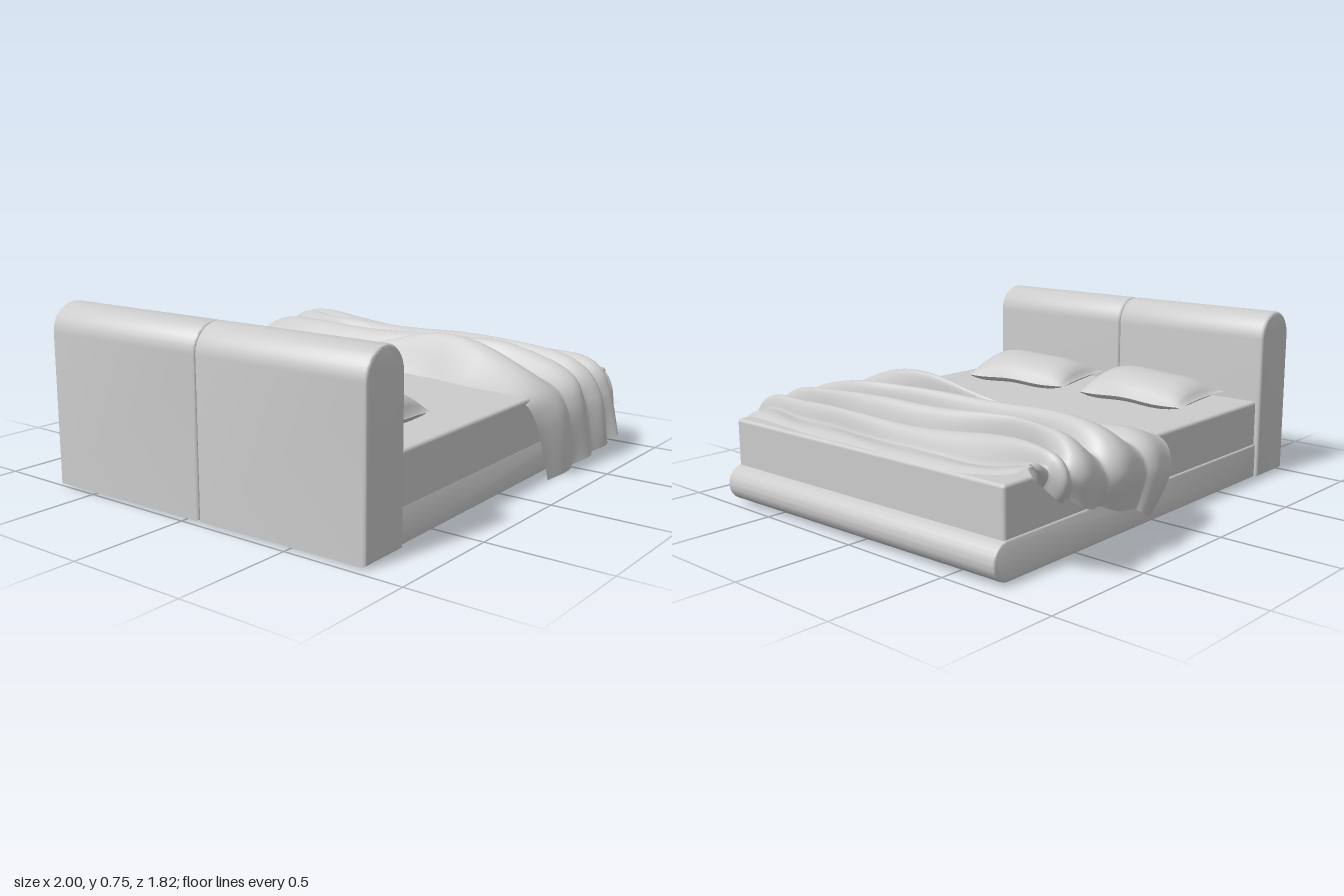
import * as THREE from 'three';
import { toCreasedNormals } from 'three/addons/utils/BufferGeometryUtils.js';
import { RoundedBoxGeometry } from 'three/addons/geometries/RoundedBoxGeometry.js';

const solid = new THREE.MeshStandardMaterial({ color: 0xcccccc });
const cloth = new THREE.MeshStandardMaterial({ color: 0xcccccc, side: THREE.DoubleSide });

function part(name, geometry, material = solid) {
  const mesh = new THREE.Mesh(geometry, material);
  mesh.name = name;
  return mesh;
}

// Side profile (x, y) extruded along z with softened ends
function extruded(shape, z0, z1, bevel) {
  const g = new THREE.ExtrudeGeometry(shape, {
    depth: z1 - z0 - 2 * bevel, curveSegments: 16,
    bevelEnabled: true, bevelSize: bevel, bevelThickness: bevel, bevelOffset: -bevel, bevelSegments: 4,
  });
  g.translate(0, 0, z0 + bevel);
  return toCreasedNormals(g, 0.6);
}

// Grid surface from a rule: fn(u, v) -> [x, y, z]
function surface(nu, nv, fn) {
  const g = new THREE.PlaneGeometry(1, 1, nu, nv);
  const p = g.attributes.position;
  for (let i = 0; i < p.count; i++) p.setXYZ(i, ...fn(p.getX(i) + 0.5, 0.5 - p.getY(i)));
  g.computeVertexNormals();
  return g;
}

// Headboard half: slab with a fully rounded top
function headboardShape() {
  const x0 = -0.985, x1 = -0.757, r = (x1 - x0) / 2, top = 0.757;
  const s = new THREE.Shape();
  s.moveTo(x0, 0.02);
  s.lineTo(x1, 0.02);
  s.lineTo(x1, top - r);
  s.absarc((x0 + x1) / 2, top - r, r, 0, Math.PI, false);
  s.closePath();
  return s;
}

// Base: low slab with a half-round foot end
function baseShape() {
  const s = new THREE.Shape();
  s.moveTo(-0.77, 0.02);
  s.lineTo(0.91, 0.02);
  s.absarc(0.91, 0.095, 0.075, -Math.PI / 2, Math.PI / 2, false);
  s.lineTo(-0.77, 0.17);
  s.closePath();
  return s;
}

// Pillow: two puffed faces joined at a thin flange, steeper at the +z end
function pillow(name, x, z, turn) {
  const group = new THREE.Group();
  group.name = name;
  const face = (height, power) => surface(32, 48, (u, v) => {
    const a = 2 * u - 1, b = 2 * v - 1;
    const ia = Math.min(1, Math.abs(a) / 0.97), ib = Math.min(1, Math.abs(b) / 0.95);
    const puff = Math.pow((1 - ia ** 2.2) * (1 - ib ** (b > 0 ? 7 : 3)), power);
    const seam = 0.402 - 0.011 * a + 0.004 * Math.sin(5 * b + a);
    return [
      0.168 * a * (1 - 0.05 * (1 - b * b)),
      seam + height * puff,
      0.285 * b * (1 - 0.04 * (1 - a * a)),
    ];
  });
  group.add(part('pillowTop', face(0.09, 0.65), cloth), part('pillowUnderside', face(-0.04, 0.4), cloth));
  group.position.set(x, 0, z);
  group.rotation.y = turn;
  return group;
}

// Throw stations from back hem to front hem:
// path [z, y, rise towards the foot], crease positions in x, fold heights
const STATIONS = [
  { path: [-0.81, 0.1, 0.34], x: [0.2, 0.32, 0.54, 0.72, 0.84, 0.9], h: [0.02, 0.03, 0.04, 0.05, 0.02] },
  { path: [-0.84, 0.28, 0.18], x: [0.12, 0.3, 0.55, 0.75, 0.85, 0.92], h: [0.02, 0.03, 0.03, 0.05, 0.01] },
  { path: [-0.75, 0.385, 0.03], x: [0.08, 0.3, 0.54, 0.71, 0.84, 0.93], h: [0.03, 0.08, 0.08, 0.07, 0.01] },
  { path: [-0.5, 0.372, 0], x: [0.15, 0.3, 0.5, 0.62, 0.84, 0.93], h: [0.06, 0.12, 0.11, 0.09, 0.01] },
  { path: [-0.15, 0.372, 0], x: [0.235, 0.32, 0.5, 0.68, 0.84, 0.935], h: [0.08, 0.11, 0.1, 0.06, 0.01] },
  { path: [0.2, 0.372, 0], x: [0.24, 0.38, 0.53, 0.71, 0.83, 0.93], h: [0.16, 0.12, 0.1, 0.07, 0.01] },
  { path: [0.48, 0.372, 0], x: [0.18, 0.42, 0.58, 0.7, 0.82, 0.92], h: [0.14, 0.11, 0.09, 0.06, 0.01] },
  { path: [0.73, 0.372, 0], x: [0.15, 0.42, 0.57, 0.69, 0.8, 0.9], h: [0.03, 0.05, 0.05, 0.05, 0.01] },
  { path: [0.82, 0.27, 0.03], x: [0.19, 0.43, 0.58, 0.71, 0.81, 0.88], h: [0.02, 0.02, 0.03, 0.03, 0.01] },
  { path: [0.84, 0.01, 0.11], x: [0.27, 0.46, 0.62, 0.76, 0.83, 0.87], h: [0.02, 0.02, 0.03, 0.04, 0.01] },
];

// Smooth value between stations for one entry of one column
function along(key, i, t) {
  const n = STATIONS.length - 1;
  const k = Math.min(n - 1, Math.floor(t * n)), f = t * n - k;
  const [a, b, c, d] = [-1, 0, 1, 2].map((o) => STATIONS[Math.min(n, Math.max(0, k + o))][key][i]);
  return b + 0.5 * f * (c - a + f * (2 * a - 5 * b + 4 * c - d + f * (3 * (b - c) + d - a)));
}

// Throw: lengthwise leaning folds raised along the normal of the drape path
function throwGeometry() {
  const folds = 5, e = 0.004;
  return surface(100, 160, (s, t) => {
    const spot = (q) => [along('path', 0, q), along('path', 1, q) + s * along('path', 2, q)];
    const t0 = Math.max(0, t - e), t1 = Math.min(1, t + e);
    const [za, ya] = spot(t0), [zb, yb] = spot(t1), [z, y] = spot(t);
    const len = Math.hypot(zb - za, yb - ya) || 1;
    const i = Math.min(folds - 1, Math.floor(s * folds)), f = s * folds - i;
    const bump = Math.sin(Math.PI * f ** 1.4) * along('h', i, t);
    const lift = bump + 0.025 * Math.sin(Math.PI * s) + 0.004 * Math.sin(9 * s + 17 * t) ** 2;
    const x = along('x', i, t) * (1 - f) + along('x', i + 1, t) * f + 0.2 * bump;
    return [x, y + lift * (zb - za) / len, z - lift * (yb - ya) / len];
  });
}

export function createModel() {
  const model = new THREE.Group();
  model.name = 'bed';

  // Frame and mattress, turned very slightly
  const frame = new THREE.Group();
  frame.name = 'bedFrame';
  frame.position.z = 0.045;
  frame.rotation.y = 0.02;
  frame.add(part('headboardRight', extruded(headboardShape(), -0.762, 0.009, 0.014)));
  frame.add(part('headboardLeft', extruded(headboardShape(), 0.009, 0.764, 0.014)));
  frame.add(part('base', extruded(baseShape(), -0.747, 0.745, 0.008)));
  const mattress = part('mattress', new RoundedBoxGeometry(1.7, 0.215, 1.485, 4, 0.014));
  mattress.position.set(0.075, 0.2575, 0.003);
  frame.add(mattress);
  model.add(frame);

  // Bedding
  model.add(pillow('pillowBack', -0.505, -0.29, 0));
  model.add(pillow('pillowFront', -0.485, 0.375, 0.1));
  model.add(part('throwBlanket', throwGeometry(), cloth));
  return model;
}
